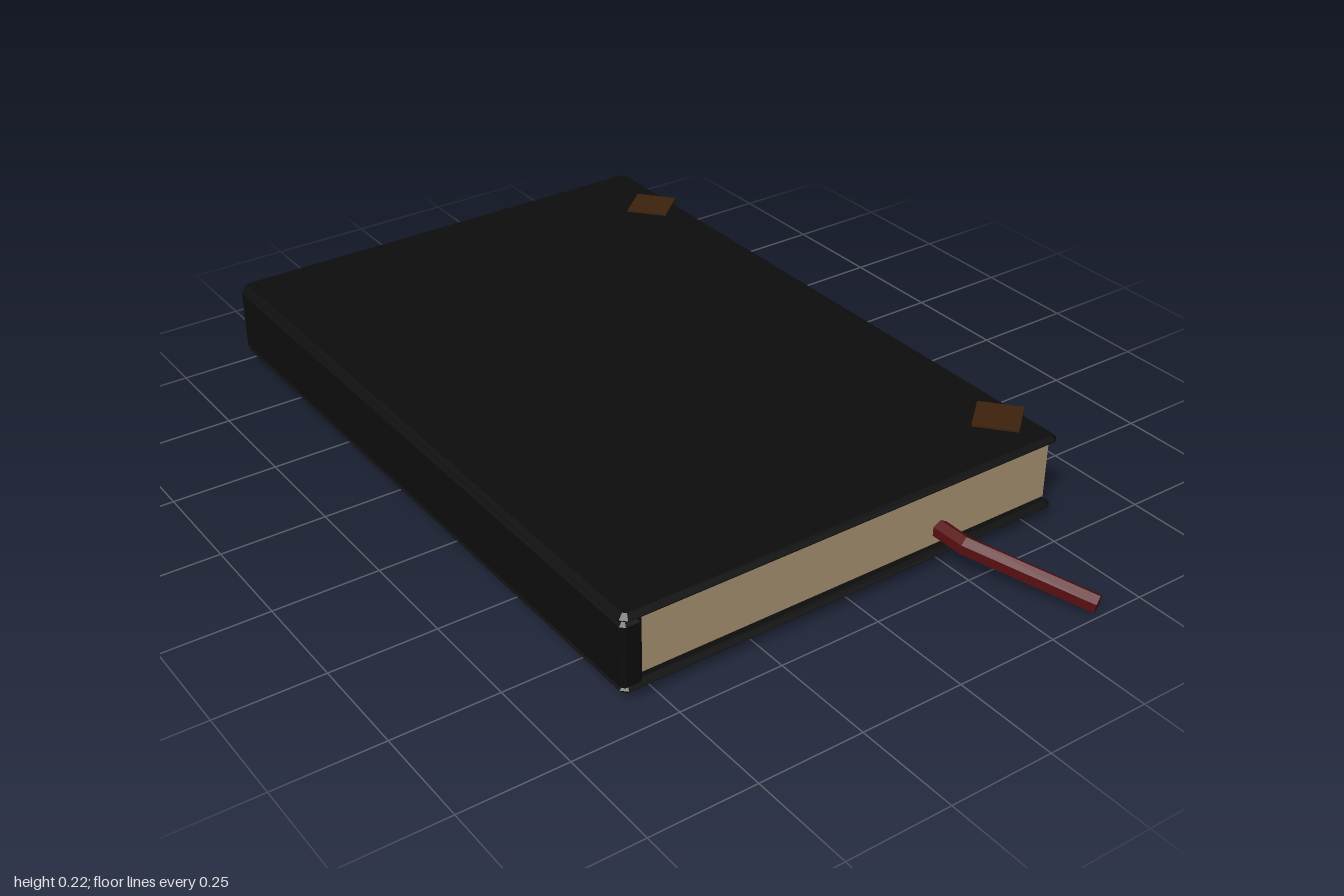
import * as THREE from 'three';

const black = new THREE.MeshStandardMaterial({ color: 0x0d0d0d });
black.name = 'black leather';
const cream = new THREE.MeshStandardMaterial({ color: 0xab9673 });
cream.name = 'aged paper';
const brown = new THREE.MeshStandardMaterial({ color: 0x3c220e });
brown.name = 'brown clasp';
const red = new THREE.MeshStandardMaterial({ color: 0x580f11 });
red.name = 'dark red ribbon';

function add(group, name, geometry, material) {
  const mesh = new THREE.Mesh(geometry, material);
  mesh.name = name;
  group.add(mesh);
  return mesh;
}

// Plain box given by its limits
function box([x0, x1], [y0, y1], [z0, z1]) {
  return new THREE.BoxGeometry(x1 - x0, y1 - y0, z1 - z0)
    .translate((x0 + x1) / 2, (y0 + y1) / 2, (z0 + z1) / 2);
}

// Box with every edge chamfered by c
function chamferedBox([x0, x1], [y0, y1], [z0, z1], c) {
  const w = (x1 - x0) / 2 - c, h = (z1 - z0) / 2 - c, k = c * 0.6;
  const shape = new THREE.Shape([
    [-w + k, -h], [w - k, -h], [w, -h + k], [w, h - k],
    [w - k, h], [-w + k, h], [-w, h - k], [-w, -h + k],
  ].map(([x, y]) => new THREE.Vector2(x, y)));
  const geometry = new THREE.ExtrudeGeometry(shape, {
    depth: y1 - y0 - 2 * c, bevelEnabled: true, bevelSize: c, bevelThickness: c, bevelSegments: 1,
  });
  return geometry.translate(0, 0, c).rotateX(-Math.PI / 2)
    .translate((x0 + x1) / 2, y0, (z0 + z1) / 2);
}

// Six-sided ribbon, bent once where it leaves the pages
function ribbonGeometry() {
  const r = 0.022;
  const centres = [[0.25, 0.077, 0.62], [0.253, 0.075, 0.725], [0.388, 0.022, 0.987]]
    .map((p) => new THREE.Vector3(...p));
  const geometry = new THREE.CylinderGeometry(r, r, 1, 6, 2);
  const pos = geometry.attributes.position;
  const up = new THREE.Vector3(0, 1, 0);
  for (let i = 0; i < pos.count; i++) {
    const ring = Math.round((pos.getY(i) + 0.5) * 2);
    const dir = centres[Math.min(ring + 1, 2)].clone().sub(centres[Math.max(ring - 1, 0)]).normalize();
    const side = up.clone().cross(dir).normalize();
    const down = side.clone().cross(dir);
    const v = centres[ring].clone().addScaledVector(side, pos.getX(i)).addScaledVector(down, pos.getZ(i));
    pos.setXYZ(i, v.x, v.y, v.z);
  }
  const flat = geometry.toNonIndexed();
  flat.computeVertexNormals();
  return flat;
}

export function createModel() {
  const book = new THREE.Group();
  book.name = 'book';

  // Covers and spine
  const coverX = [-0.58, 0.565], coverZ = [-1, 0.675];
  add(book, 'bottomCover', chamferedBox(coverX, [0.02, 0.043], coverZ, 0.011), black);
  add(book, 'topCover', chamferedBox(coverX, [0.189, 0.212], coverZ, 0.011), black);
  add(book, 'spine', chamferedBox([-0.582, -0.53], [0.036, 0.196], coverZ, 0.008), black);

  // Page block
  add(book, 'pages', box([-0.54, 0.557], [0.035, 0.198], [-0.967, 0.65]), cream);

  // Turned square clasps on the top cover's opening edge
  for (const [name, z] of [['backClasp', -0.782], ['frontClasp', 0.544]]) {
    const clasp = add(book, name, new THREE.BoxGeometry(0.104, 0.026, 0.104), brown);
    clasp.position.set(0.503, 0.204, z);
    clasp.rotation.y = Math.PI / 4 - 0.08;
  }

  add(book, 'bookmarkRibbon', ribbonGeometry(), red);
  return book;
}
